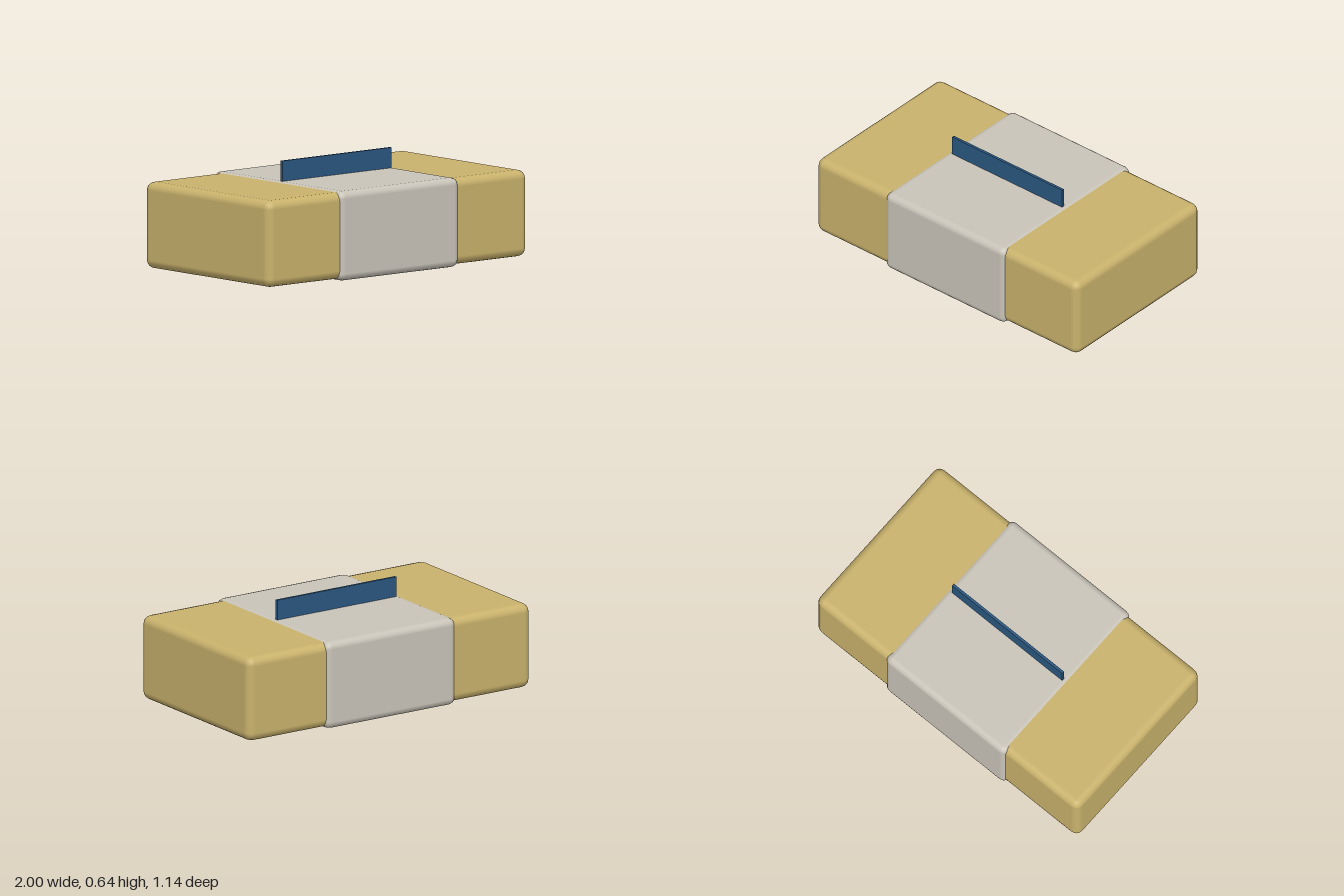
import * as THREE from 'three';
import { RoundedBoxGeometry } from 'three/addons/geometries/RoundedBoxGeometry.js';

export function createModel() {
  const group = new THREE.Group();
  group.name = 'wrappedBlock';

  const material = (name, color) => {
    const m = new THREE.MeshStandardMaterial({ color });
    m.name = name;
    return m;
  };
  const gold = material('gold', 0xc9b26c);
  const stone = material('warm grey', 0xc9c4b9);
  const blue = material('dark blue', 0x2a5780);

  const add = (name, geometry, mat, y) => {
    const mesh = new THREE.Mesh(geometry, mat);
    mesh.name = name;
    mesh.position.y = y;
    group.add(mesh);
  };

  // Long rounded block
  add('body', new RoundedBoxGeometry(2, 0.508, 1.11, 2, 0.05), gold, 0.264);

  // Slightly larger band wrapped around the middle
  add('middleBand', new RoundedBoxGeometry(0.92, 0.525, 1.144, 2, 0.042), stone, 0.2625);

  // Thin upright fin, set into the top of the band
  add('topFin', new THREE.BoxGeometry(0.84, 0.145, 0.016), blue, 0.5725);

  return group;
}
